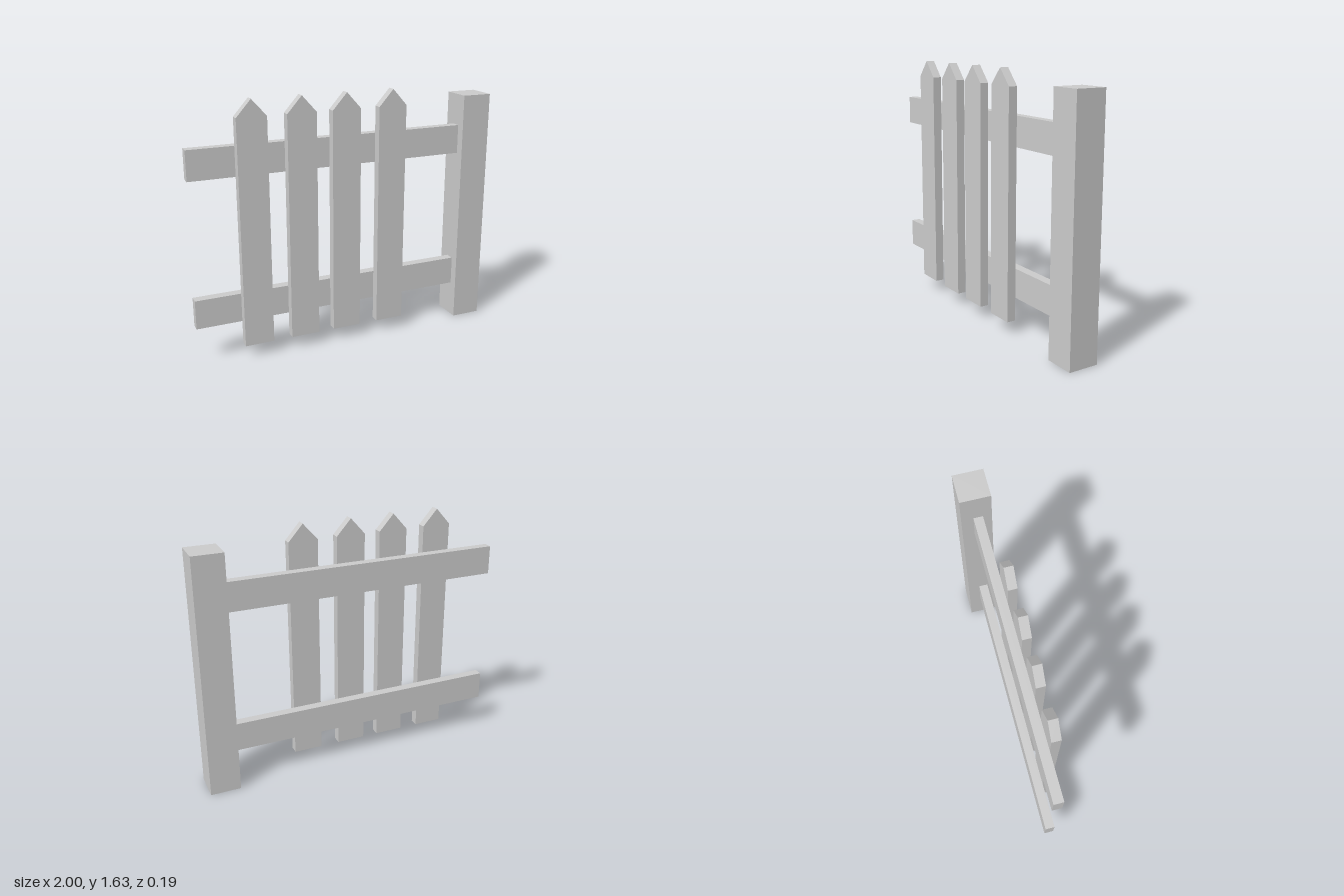
import * as THREE from 'three';

export function createModel() {
  const group = new THREE.Group();
  group.name = 'picketFence';
  const material = new THREE.MeshStandardMaterial({ color: 0xcccccc, flatShading: true });

  const add = (name, geometry, x, y, z) => {
    const mesh = new THREE.Mesh(geometry, material);
    mesh.name = name;
    mesh.position.set(x, y, z);
    group.add(mesh);
  };

  // Square post at the left end
  add('post', new THREE.BoxGeometry(0.194, 1.555, 0.194), 0.903, 0.7775, 0);

  // Two horizontal rails butting against the post
  const railGeometry = new THREE.BoxGeometry(1.806, 0.187, 0.06);
  add('lowerRail', railGeometry, -0.097, 0.326, 0.01);
  add('upperRail', railGeometry, -0.097, 1.261, 0.01);

  // Pointed pickets fixed to the front of the rails
  const half = 0.0935;
  const outline = new THREE.Shape([
    new THREE.Vector2(-half, 0.083),
    new THREE.Vector2(half, 0.083),
    new THREE.Vector2(half, 1.525),
    new THREE.Vector2(0, 1.63),
    new THREE.Vector2(-half, 1.525),
  ]);
  const picketGeometry = new THREE.ExtrudeGeometry(outline, { depth: 0.057, bevelEnabled: false });
  [-0.617, -0.308, -0.019, 0.292].forEach((x, i) => add(`picket${i + 1}`, picketGeometry, x, 0, 0.04));

  return group;
}
